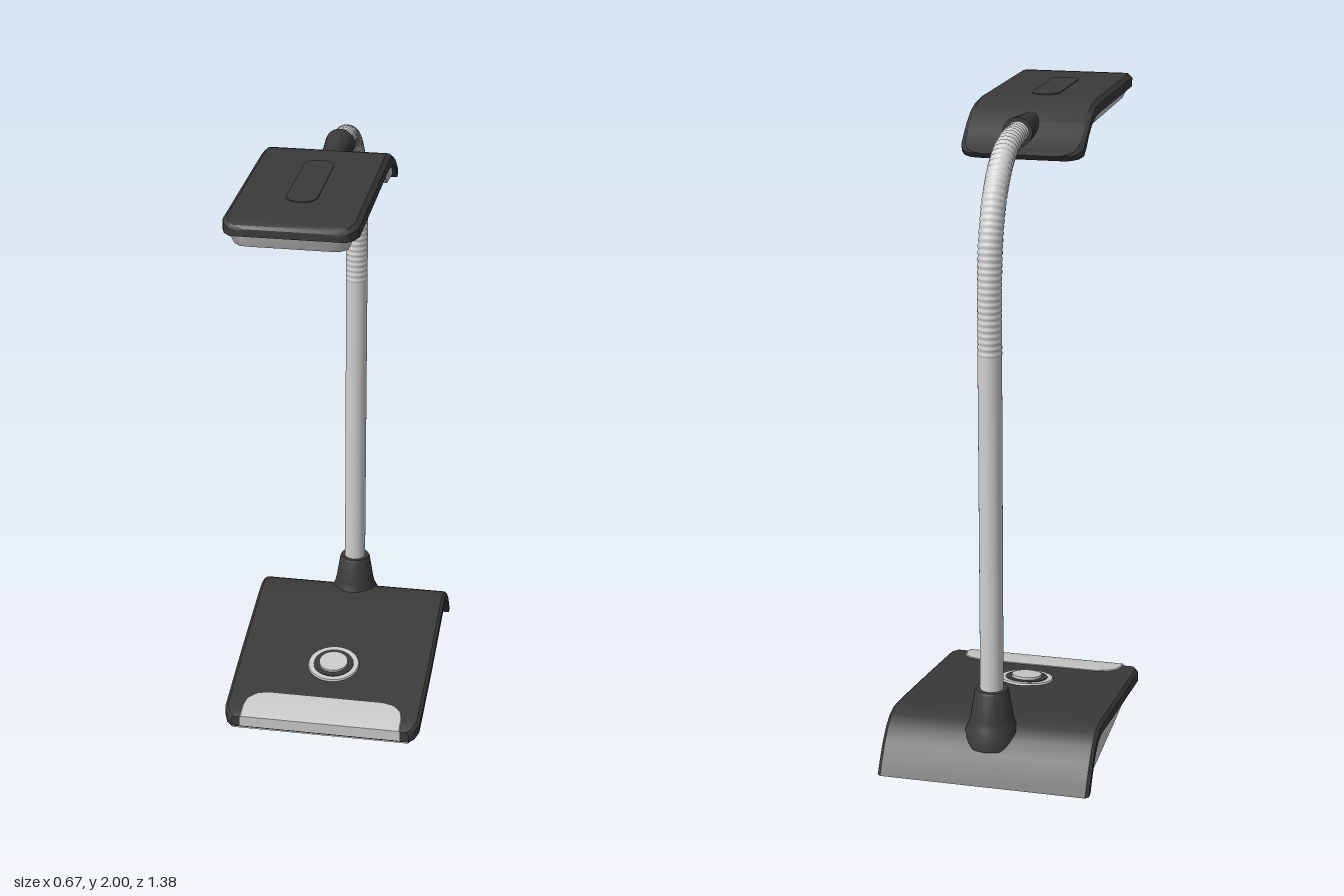
import * as THREE from 'three';
import { toCreasedNormals } from 'three/addons/utils/BufferGeometryUtils.js';

const mat = (name, color, side = THREE.FrontSide) =>
  Object.assign(new THREE.MeshStandardMaterial({ color, side }), { name });

// Loft from front to back. Station: [zTop, yTop, zBottom, yBottom, half width top, half width bottom]
function loft(stations, bevel = 0.01) {
  const pos = [], idx = [], n = 6;
  for (const [zt, yt, zb, yb, wt, wb = wt] of stations) {
    const f = Math.min(0.3, bevel / (Math.hypot(zt - zb, yt - yb) + 1e-4));
    const ys = yt + (yb - yt) * f, zs = zt + (zb - zt) * f;
    pos.push(-wt + bevel, yt, zt, wt - bevel, yt, zt, wt, ys, zs,
      wb, yb, zb, -wb, yb, zb, -wt, ys, zs);
  }
  const last = (stations.length - 1) * n;
  for (let s = 0; s < last; s += n) {
    for (let j = 0; j < n; j++) {
      const a = s + j, b = s + (j + 1) % n;
      idx.push(a, b, b + n, a, b + n, a + n);
    }
  }
  for (let k = 1; k < n - 1; k++) idx.push(0, k + 1, k, last, last + k, last + k + 1);
  const g = new THREE.BufferGeometry();
  g.setAttribute('position', new THREE.Float32BufferAttribute(pos, 3));
  g.setIndex(idx);
  return toCreasedNormals(g, 0.6);
}

// Flat rounded rectangle lying in the xz plane, its underside at y = 0
function pad(hw, hl, r, depth) {
  const s = new THREE.Shape();
  s.moveTo(hw, -hl + r);
  s.absarc(hw - r, hl - r, r, 0, Math.PI / 2);
  s.absarc(-hw + r, hl - r, r, Math.PI / 2, Math.PI);
  s.absarc(-hw + r, -hl + r, r, Math.PI, Math.PI * 1.5);
  s.absarc(hw - r, -hl + r, r, Math.PI * 1.5, Math.PI * 2);
  return new THREE.ExtrudeGeometry(s, { depth, bevelEnabled: false }).rotateX(-Math.PI / 2);
}

export function createModel() {
  const root = new THREE.Group();
  root.name = 'deskLamp';
  const dark = mat('charcoal plastic', 0x3a3a3a);
  const light = mat('light grey plastic', 0xcacaca);
  const metal = mat('pale metal', 0xd0d0d0);
  const mid = mat('mid grey trim', 0xa8a8a8);
  const panelMat = mat('light panel', 0x9a9a9a);
  const add = (name, geo, m, parent = root) => {
    const mesh = new THREE.Mesh(geo, m);
    mesh.name = name;
    parent.add(mesh);
    return mesh;
  };

  // Base: sloping cover that rolls over at the back
  const cover = [
    [0.2, 0.05, 0.2, 0.012, 0.30], [0.185, 0.057, 0.185, 0.015, 0.317],
    [0.15, 0.064, 0.15, 0.022, 0.33], [-0.15, 0.112, -0.145, 0.074, 0.333],
    [-0.4, 0.153, -0.395, 0.115, 0.333], [-0.46, 0.162, -0.455, 0.126, 0.333],
    [-0.51, 0.165, -0.5, 0.131, 0.333], [-0.55, 0.157, -0.535, 0.127, 0.333],
    [-0.59, 0.135, -0.57, 0.111, 0.333], [-0.63, 0.097, -0.605, 0.08, 0.333],
    [-0.665, 0.05, -0.635, 0.042, 0.333], [-0.69, 0.01, -0.655, 0.01, 0.333]];
  add('baseCover', loft(cover), dark);

  // Trim under the cover, then the tapered body down to the table
  add('baseTrim', loft(cover.slice(1, -1).map(([, , z, y, w]) =>
    [z, y + 0.008, z + 0.01, Math.max(y - 0.02, 0.004), w - 0.018]), 0.004), mid);
  add('baseBody', loft(cover.slice(1).map(([, , z, y, w]) =>
    [z, y, z, 0, w - 0.035, w - 0.028]), 0.004), light);

  // Pale strip along the front edge, wrapping over the nose
  add('frontStrip', loft([
    [0.204, 0.055, 0.204, 0.018, 0.27], [0.185, 0.061, 0.185, 0.03, 0.27],
    [0.15, 0.068, 0.15, 0.04, 0.27], [0.115, 0.074, 0.115, 0.05, 0.262],
    [0.092, 0.077, 0.092, 0.055, 0.24], [0.08, 0.078, 0.08, 0.06, 0.2]], 0.003), light);

  // Touch button with its ring, tilted with the cover
  const button = new THREE.Group();
  button.name = 'button';
  button.position.set(0, 0.104, -0.09);
  button.rotation.x = 0.16;
  root.add(button);
  const disc = (name, r, h, m) =>
    add(name, new THREE.CylinderGeometry(r * 0.97, r, h, 40), m, button).position.y = h / 2;
  disc('buttonRing', 0.088, 0.006, light);
  disc('buttonGroove', 0.07, 0.008, dark);
  disc('buttonCap', 0.05, 0.016, light);

  // Flared collar and straight stem
  const stemZ = -0.553;
  const collar = [[0.085, 0.1], [0.082, 0.145], [0.072, 0.165], [0.066, 0.19],
    [0.053, 0.272], [0.049, 0.28], [0, 0.28]].map(([r, y]) => new THREE.Vector2(r, y));
  add('collar', toCreasedNormals(new THREE.LatheGeometry(collar, 32), 0.6), dark).position.z = stemZ;
  add('stem', new THREE.CylinderGeometry(0.036, 0.036, 1.08, 32), metal).position.set(0, 0.81, stemZ);

  // Ribbed gooseneck: a tube whose radius pulses along its length
  const path = new THREE.CatmullRomCurve3([[1.34, stemZ], [1.45, stemZ], [1.57, -0.55],
    [1.7, -0.53], [1.815, -0.475], [1.89, -0.395], [1.925, -0.31], [1.938, -0.18]]
    .map(([y, z]) => new THREE.Vector3(0, y, z)));
  const ribs = 44, steps = ribs * 4, sides = 20;
  const neck = new THREE.TubeGeometry(path, steps, 0.036, sides);
  const p = neck.attributes.position, v = new THREE.Vector3();
  for (let i = 0; i < p.count; i++) {
    const ring = Math.floor(i / (sides + 1));
    const c = path.getPointAt(ring / steps);
    v.fromBufferAttribute(p, i).sub(c).multiplyScalar(ring % 4 === 0 ? 0.93 : 1.02).add(c);
    p.setXYZ(i, v.x, v.y, v.z);
  }
  neck.computeVertexNormals();
  add('gooseneck', neck, metal);

  // Lamp head: flat shell drooping at the back
  const head = new THREE.Group();
  head.name = 'head';
  root.add(head);
  add('headShell', loft([
    [0.69, 1.982, 0.69, 1.96, 0.135], [0.682, 1.99, 0.682, 1.957, 0.162],
    [0.662, 1.995, 0.662, 1.957, 0.182], [0.63, 1.998, 0.63, 1.957, 0.192],
    [0.08, 1.998, 0.08, 1.957, 0.192], [0.03, 1.993, 0.025, 1.953, 0.192],
    [-0.02, 1.977, -0.03, 1.939, 0.192], [-0.07, 1.95, -0.075, 1.912, 0.192],
    [-0.11, 1.92, -0.11, 1.882, 0.192], [-0.15, 1.893, -0.135, 1.862, 0.19],
    [-0.178, 1.88, -0.155, 1.855, 0.178], [-0.195, 1.873, -0.17, 1.852, 0.155],
    [-0.2, 1.87, -0.178, 1.852, 0.13]], 0.013), dark);

  // Diffuser housing below the shell, following the same droop
  add('diffuser', loft([
    [0.678, 1.962, 0.66, 1.92, 0.13, 0.115], [0.668, 1.962, 0.65, 1.917, 0.158, 0.14],
    [0.64, 1.962, 0.63, 1.917, 0.178, 0.16], [0.08, 1.962, 0.08, 1.917, 0.18, 0.164],
    [0.02, 1.955, 0.01, 1.91, 0.18, 0.164], [-0.03, 1.942, -0.045, 1.891, 0.18, 0.164],
    [-0.075, 1.915, -0.085, 1.867, 0.18, 0.164], [-0.11, 1.885, -0.115, 1.849, 0.178, 0.16],
    [-0.145, 1.865, -0.145, 1.846, 0.165, 0.145]], 0.004), light);
  add('lightPanel', pad(0.12, 0.24, 0.015, 0.006), panelMat, head).position.set(0, 1.913, 0.34);
  head.add(root.getObjectByName('headShell'), root.getObjectByName('diffuser'));

  // Long oval pad on top of the head
  add('topPad', pad(0.045, 0.18, 0.045, 0.005), dark, head).position.set(0, 1.995, 0.32);

  // Socket joining the gooseneck to the head
  const socket = add('neckSocket', new THREE.CylinderGeometry(0.03, 0.046, 0.22, 28), dark, head);
  socket.rotation.x = Math.PI / 2;
  socket.position.set(0, 1.939, -0.092);
  return root;
}
